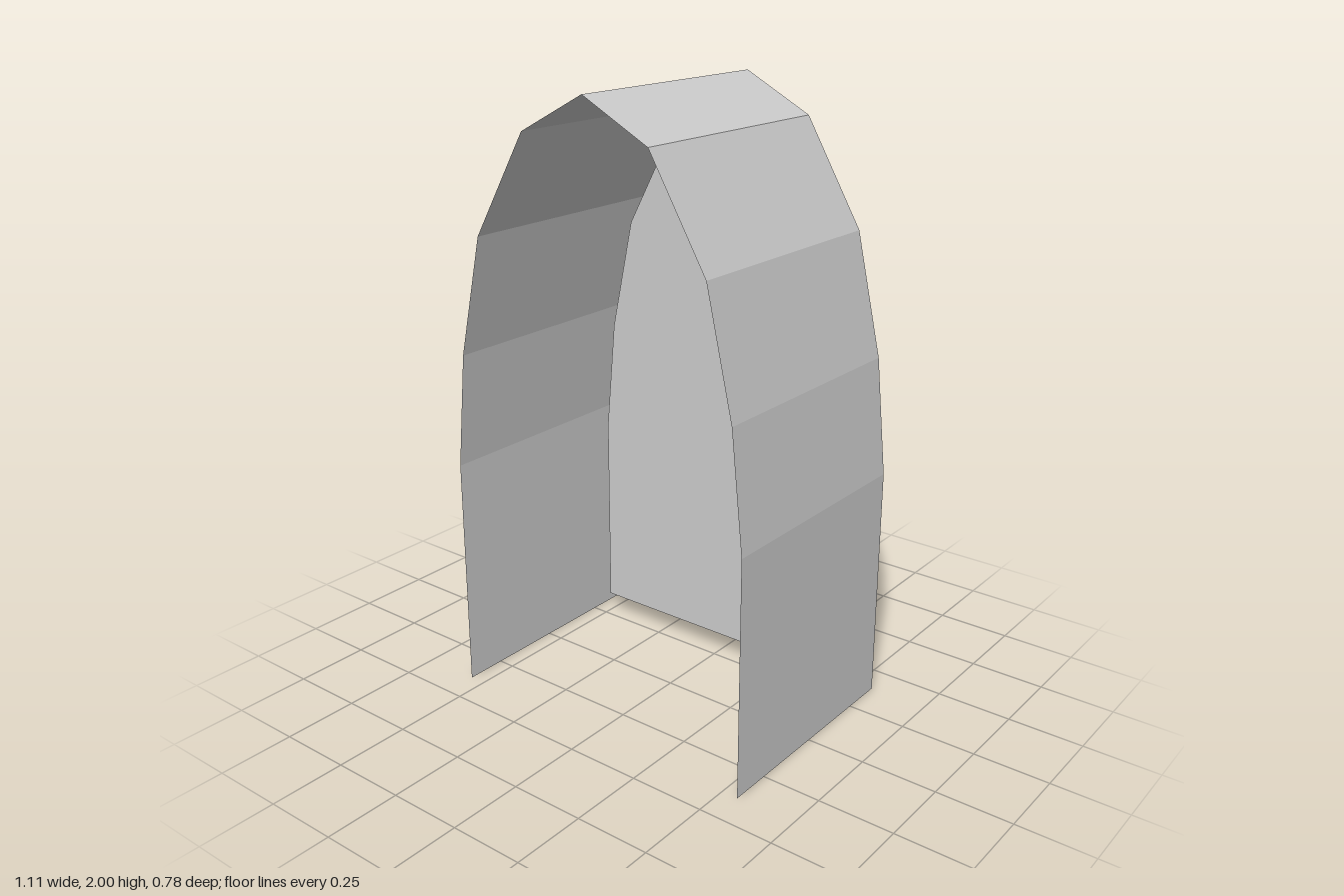
import * as THREE from 'three';

const BACK = -0.39, FRONT = 0.39, RECESS = -0.26;

// Right half of each arch, from the foot up to the apex
const OUTER = [[0.555, 0], [0.555, 0.78], [0.515, 1.16], [0.425, 1.55], [0.23, 1.88], [0, 2]];
const INNER = [[0.485, 0.08], [0.485, 0.745], [0.45, 1.12], [0.37, 1.49], [0.2, 1.805], [0, 1.925]];

// Full outline: up the +x side, over the apex, down the -x side
function mirrored(half) {
  return [...half, ...half.slice(0, -1).reverse().map(([x, y]) => [-x, y])];
}

// Flat facets swept along z between two depths, facing outward (or inward)
function sweep(points, zFront, zBack, closed, inward) {
  const pos = [];
  const count = closed ? points.length : points.length - 1;
  for (let i = 0; i < count; i++) {
    let [a, b] = [points[i], points[(i + 1) % points.length]];
    if (inward) [a, b] = [b, a];
    pos.push(...a, zFront, ...a, zBack, ...b, zBack);
    pos.push(...a, zFront, ...b, zBack, ...b, zFront);
  }
  const g = new THREE.BufferGeometry();
  g.setAttribute('position', new THREE.Float32BufferAttribute(pos, 3));
  g.computeVertexNormals();
  return g;
}

const toVectors = (points) => points.map(([x, y]) => new THREE.Vector2(x, y));

// Flat sheet facing the back
function sheet(points, hole, z) {
  const shape = new THREE.Shape(toVectors(points));
  if (hole) shape.holes.push(new THREE.Path(toVectors(hole)));
  return new THREE.ShapeGeometry(shape).rotateY(Math.PI).translate(0, 0, z);
}

export function createModel() {
  const group = new THREE.Group();
  group.name = 'archedAlcove';
  const grey = new THREE.MeshStandardMaterial({ color: 0xcccccc, side: THREE.DoubleSide, flatShading: true });
  grey.name = 'light grey';

  const outer = mirrored(OUTER);
  const inner = mirrored(INNER);

  const add = (name, geometry) => {
    const mesh = new THREE.Mesh(geometry, grey);
    mesh.name = name;
    group.add(mesh);
  };

  // Thin vault, open at the front and underneath
  add('vaultShell', sweep(outer, FRONT, BACK, false, false));
  // Flat border around the rear recess
  add('rearFrame', sheet(outer, inner, BACK));
  // Sides of the recess
  add('recessReveal', sweep(inner, RECESS, BACK, true, true));
  // Sunken panel closing the recess
  add('rearPanel', sheet(inner, null, RECESS));

  return group;
}
